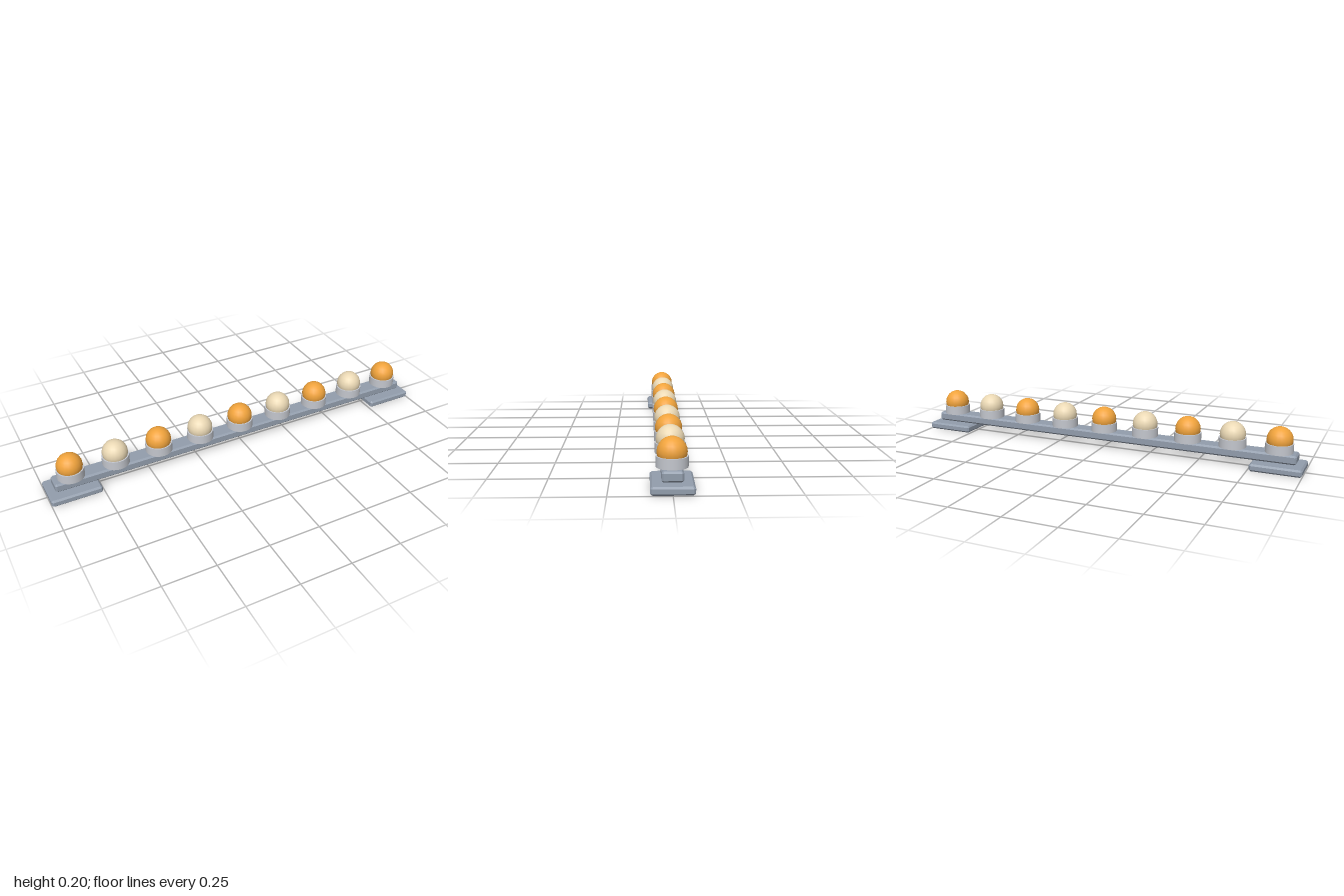
import * as THREE from 'three';

const mat = (color) => new THREE.MeshStandardMaterial({ color });

// Box with every edge chamfered by c, standing on y = 0
function chamferBox(w, h, d, c) {
  const x = w / 2, z = d / 2;
  const shape = new THREE.Shape([
    [x - c, -z], [x, -z + c], [x, z - c], [x - c, z],
    [-x + c, z], [-x, z - c], [-x, -z + c], [-x + c, -z],
  ].map(([a, b]) => new THREE.Vector2(a, b)));
  const geo = new THREE.ExtrudeGeometry(shape, {
    depth: h - 2 * c, bevelEnabled: true, bevelSegments: 1,
    bevelSize: c, bevelThickness: c, bevelOffset: -c,
  });
  return geo.rotateX(-Math.PI / 2).translate(0, c, 0);
}

export function createModel() {
  const model = new THREE.Group();
  const steel = mat(0x929dac), silver = mat(0xc4c7ce);
  const amber = mat(0xf0a33c), cream = mat(0xead8b4);

  const add = (name, geo, material, x, y) => {
    const mesh = new THREE.Mesh(geo, material);
    mesh.name = name;
    mesh.position.set(x, y, 0);
    model.add(mesh);
  };

  // Long rail
  add('rail', chamferBox(1.93, 0.044, 0.087, 0.008), steel, 0, 0.041);

  // Foot plates and the short posts that carry the rail
  const plate = chamferBox(0.242, 0.035, 0.174, 0.008);
  const post = new THREE.CylinderGeometry(0.017, 0.017, 0.03, 16);
  for (const side of [-1, 1]) {
    add('footPlate', plate, steel, side * 0.879, 0);
    add('post', post, steel, side * 0.879, 0.038);
  }

  // Row of lamps, alternating amber and cream
  const socket = new THREE.CylinderGeometry(0.065, 0.065, 0.044, 24);
  const bulb = new THREE.SphereGeometry(0.061, 20, 12);
  for (let i = 0; i < 9; i++) {
    const x = (i - 4) * 0.2195;
    add('lampSocket', socket, silver, x, 0.106);
    add('bulb', bulb, i % 2 ? cream : amber, x, 0.144);
  }
  return model;
}
